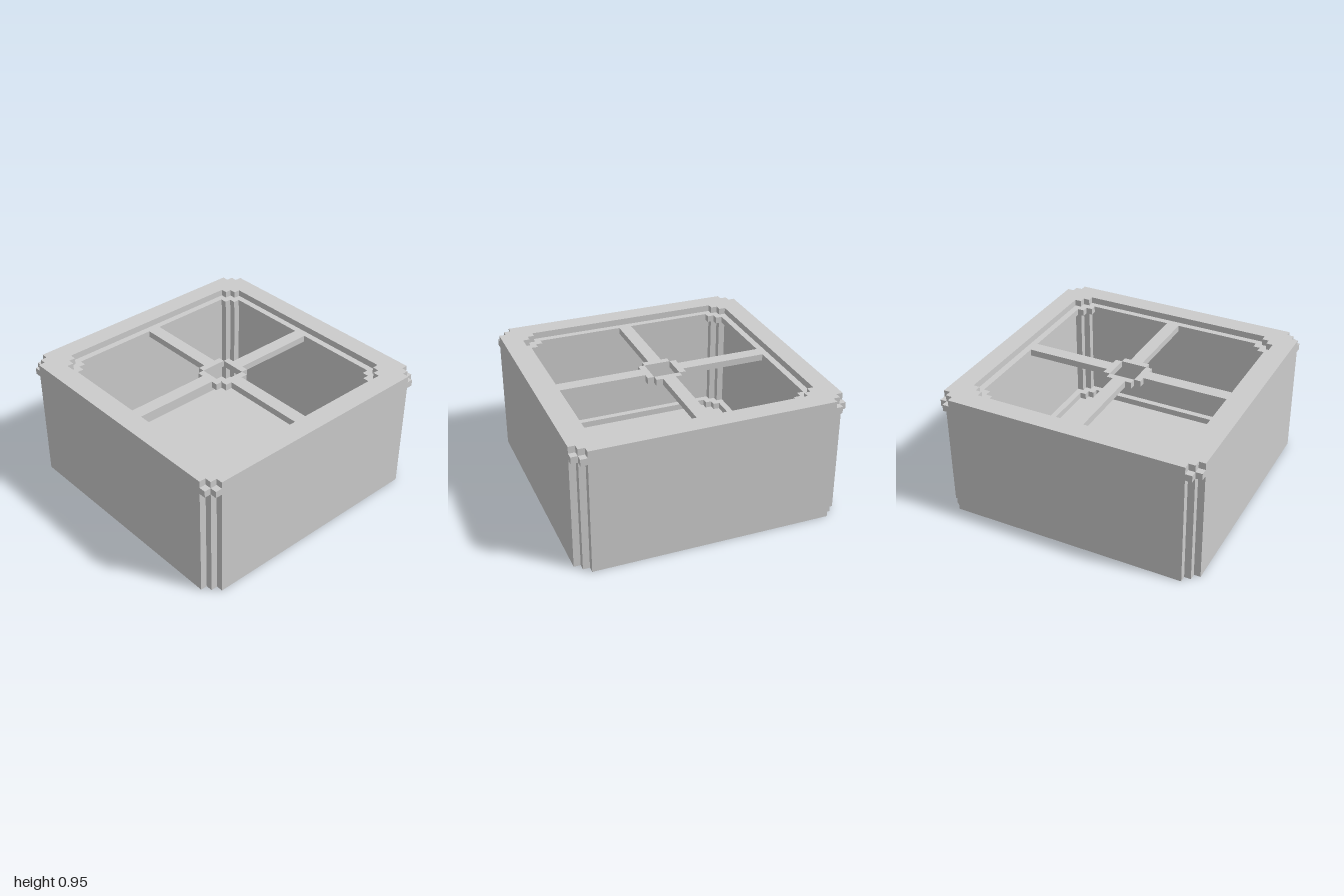
import * as THREE from 'three';

const U = 0.05; // step size
const material = new THREE.MeshStandardMaterial({ color: 0xcccccc, flatShading: true });

// Square outline of half-width r whose corners are cut into `steps` small stairs
function outline(r, steps = 2) {
  const corner = [];
  for (let i = 0; i <= steps; i++) {
    corner.push([r - i * U, r - (steps - i) * U]);
    if (i < steps) corner.push([r - (i + 1) * U, r - (steps - i) * U]);
  }
  const points = [];
  for (let q = 0; q < 4; q++) {
    for (const [x, y] of corner) {
      points.push(new THREE.Vector2(x, y).rotateAround(new THREE.Vector2(), q * Math.PI / 2));
    }
  }
  return points;
}

// Horizontal slab from y0 to y1, optionally with a hole
function slab(name, y0, y1, outer, inner) {
  const shape = new THREE.Shape(outer);
  if (inner) shape.holes.push(new THREE.Path(inner));
  const geometry = new THREE.ExtrudeGeometry(shape, { depth: y1 - y0, bevelEnabled: false });
  geometry.rotateX(-Math.PI / 2).translate(0, y0, 0);
  const mesh = new THREE.Mesh(geometry, material);
  mesh.name = name;
  return mesh;
}

function box(name, w, h, d, x, y, z) {
  const mesh = new THREE.Mesh(new THREE.BoxGeometry(w, h, d), material);
  mesh.name = name;
  mesh.position.set(x, y, z);
  return mesh;
}

export function createModel() {
  const model = new THREE.Group();
  model.name = 'squarePlanter';

  // Container: floor, walls and a rim that juts out at the corners
  model.add(
    slab('floor', 0, 0.05, outline(1)),
    slab('walls', 0.05, 0.85, outline(1), outline(0.85)),
    slab('rimBand', 0.85, 0.9, outline(1, 1), outline(0.85)),
    slab('rimTop', 0.9, 0.95, outline(1), outline(0.85)),
    slab('floorLedge', 0.05, 0.1, outline(0.85), outline(0.8)),
  );

  // Lattice: frame, four bars and a ring of blocks around the centre hole
  const lattice = new THREE.Group();
  lattice.name = 'lattice';
  lattice.add(slab('latticeFrame', 0.85, 0.9, outline(0.85), outline(0.8)));
  for (let q = 0; q < 4; q++) {
    const arm = new THREE.Group();
    arm.name = 'latticeArm';
    arm.rotation.y = q * Math.PI / 2;
    arm.add(
      box('bar', 0.65, 0.05, 0.1, 0.475, 0.875, 0),
      box('centreRingBlock', 0.05, 0.05, 0.2, 0.125, 0.875, 0),
    );
    lattice.add(arm);
  }
  model.add(lattice);
  return model;
}
